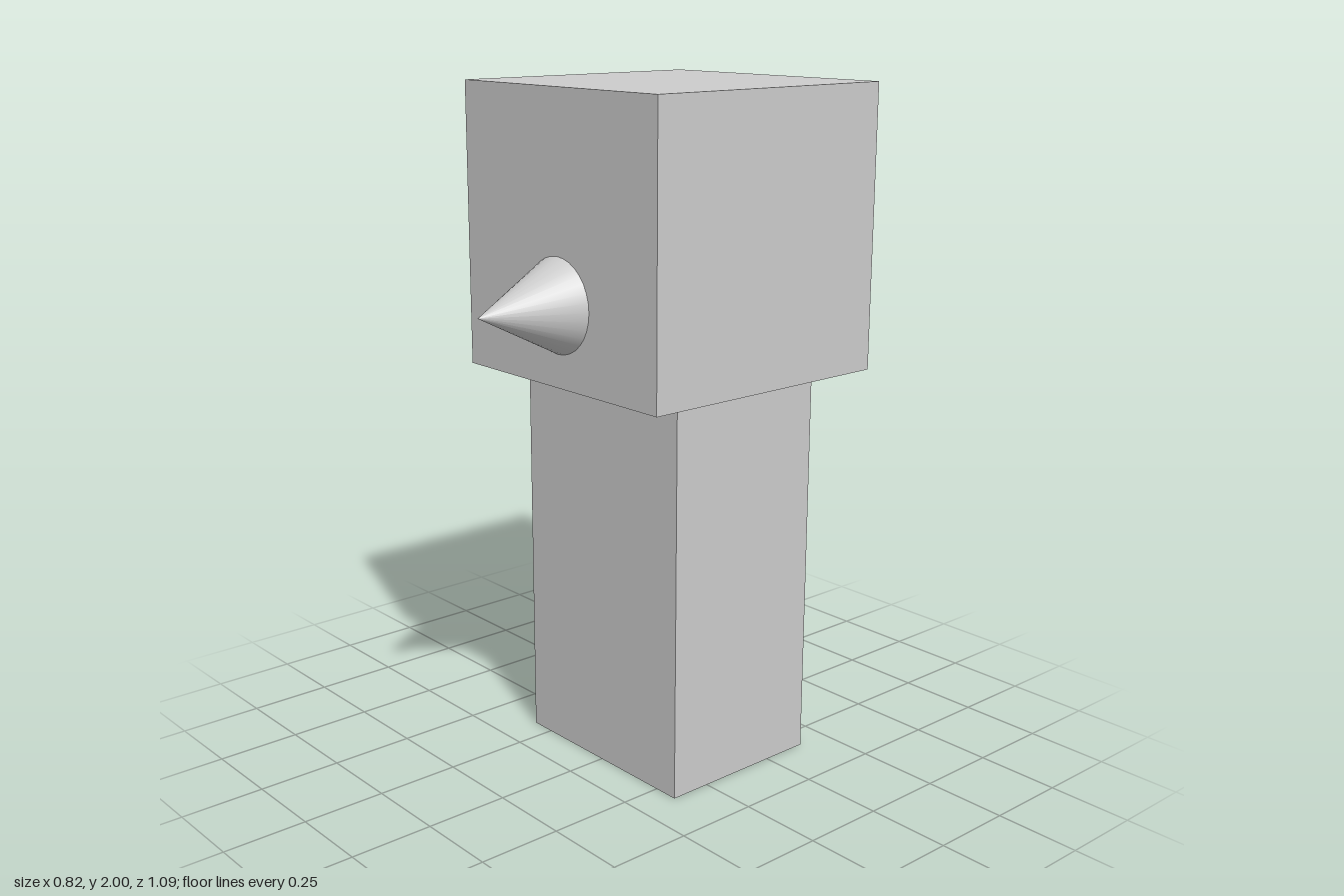
import * as THREE from 'three';

export function createModel() {
  const model = new THREE.Group();
  const grey = new THREE.MeshStandardMaterial({ color: 0xcccccc });
  grey.name = 'light grey';

  const add = (name, geometry, x, y, z) => {
    const mesh = new THREE.Mesh(geometry, grey);
    mesh.name = name;
    mesh.position.set(x, y, z);
    model.add(mesh);
  };

  const axisZ = -0.134; // body and head share this centre line
  const bodyHeight = 1.18;
  const headSize = 0.82;

  // Upright body block
  add('body', new THREE.BoxGeometry(0.654, bodyHeight, 0.524), 0, bodyHeight / 2, axisZ);

  // Cubic head resting on the body
  add('head', new THREE.BoxGeometry(headSize, headSize, headSize), 0, bodyHeight + headSize / 2, axisZ);

  // Pointed nose, its base flush with the face
  const noseLength = 0.267;
  const nose = new THREE.ConeGeometry(0.136, noseLength, 32).rotateX(Math.PI / 2);
  add('nose', nose, 0, 1.412, axisZ + headSize / 2 + noseLength / 2);

  return model;
}
